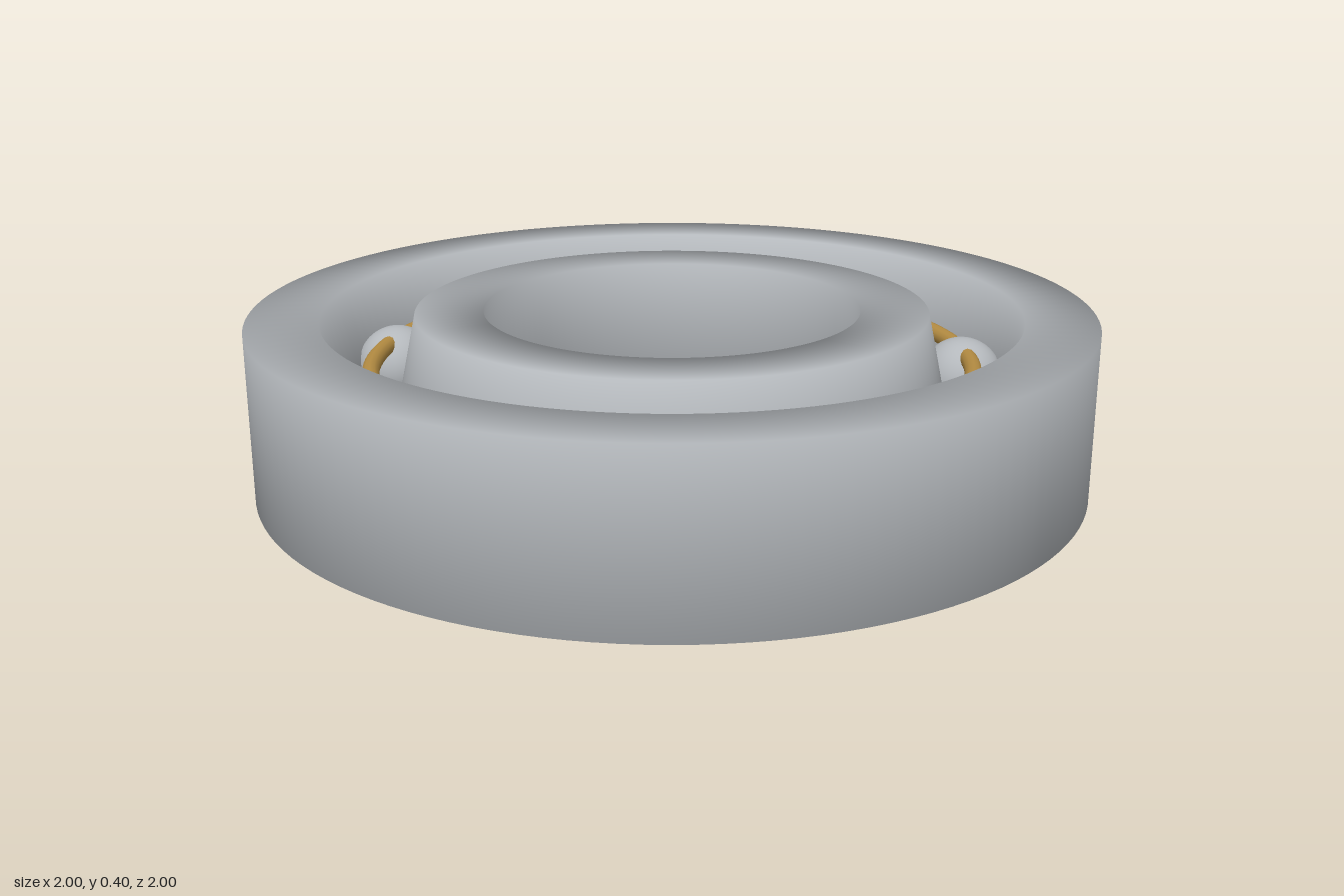
import * as THREE from 'three';
import { mergeVertices } from 'three/addons/utils/BufferGeometryUtils.js';

const HEIGHT = 0.4, MID = HEIGHT / 2;
const PITCH = 0.72;        // radius of the circle the balls run on
const BALL_RADIUS = 0.1, BALL_COUNT = 9;

// Closed profile spun round y, with normals blended across its corners
function ringGeometry(profile) {
  const points = [...profile, profile[0]].map(([r, y]) => new THREE.Vector2(r, y));
  const lathe = new THREE.LatheGeometry(points, 128);
  lathe.deleteAttribute('uv');
  lathe.deleteAttribute('normal');
  const geometry = mergeVertices(lathe, 1e-4);
  geometry.computeVertexNormals();
  return geometry;
}

export function createModel() {
  const steel = new THREE.MeshStandardMaterial({ color: 0xb4b8bc });
  steel.name = 'steel';
  const brass = new THREE.MeshStandardMaterial({ color: 0xb48c42 });
  brass.name = 'brass';

  const model = new THREE.Group();
  model.name = 'ballBearing';
  const add = (name, geometry, material, parent = model) => {
    const mesh = new THREE.Mesh(geometry, material);
    mesh.name = name;
    parent.add(mesh);
    return mesh;
  };

  // Outer race: straight outside, inside wall bulging inward at mid height
  add('outerRace', ringGeometry([
    [1, 0], [1, HEIGHT], [0.83, HEIGHT], [0.79, MID], [0.83, 0],
  ]), steel);

  // Inner race: straight bore, outside wall bulging outward at mid height
  add('innerRace', ringGeometry([
    [0.45, 0], [0.612, 0], [0.655, MID], [0.612, HEIGHT], [0.45, HEIGHT],
  ]), steel);

  // Balls evenly spaced between the races
  const balls = new THREE.Group();
  balls.name = 'balls';
  model.add(balls);
  const ballGeometry = new THREE.SphereGeometry(BALL_RADIUS, 32, 20);
  for (let i = 0; i < BALL_COUNT; i++) {
    const a = (i / BALL_COUNT) * Math.PI * 2;
    add('ball', ballGeometry, steel, balls)
      .position.set(PITCH * Math.cos(a), MID, PITCH * Math.sin(a));
  }

  // Cage: one wire hoop above and one below the ball centres
  const cage = new THREE.Group();
  cage.name = 'cage';
  model.add(cage);
  const hoop = new THREE.TorusGeometry(PITCH, 0.021, 12, 128).rotateX(Math.PI / 2);
  for (const side of [-1, 1]) {
    add(side > 0 ? 'upperCageWire' : 'lowerCageWire', hoop, brass, cage)
      .position.y = MID + side * 0.066;
  }

  return model;
}
